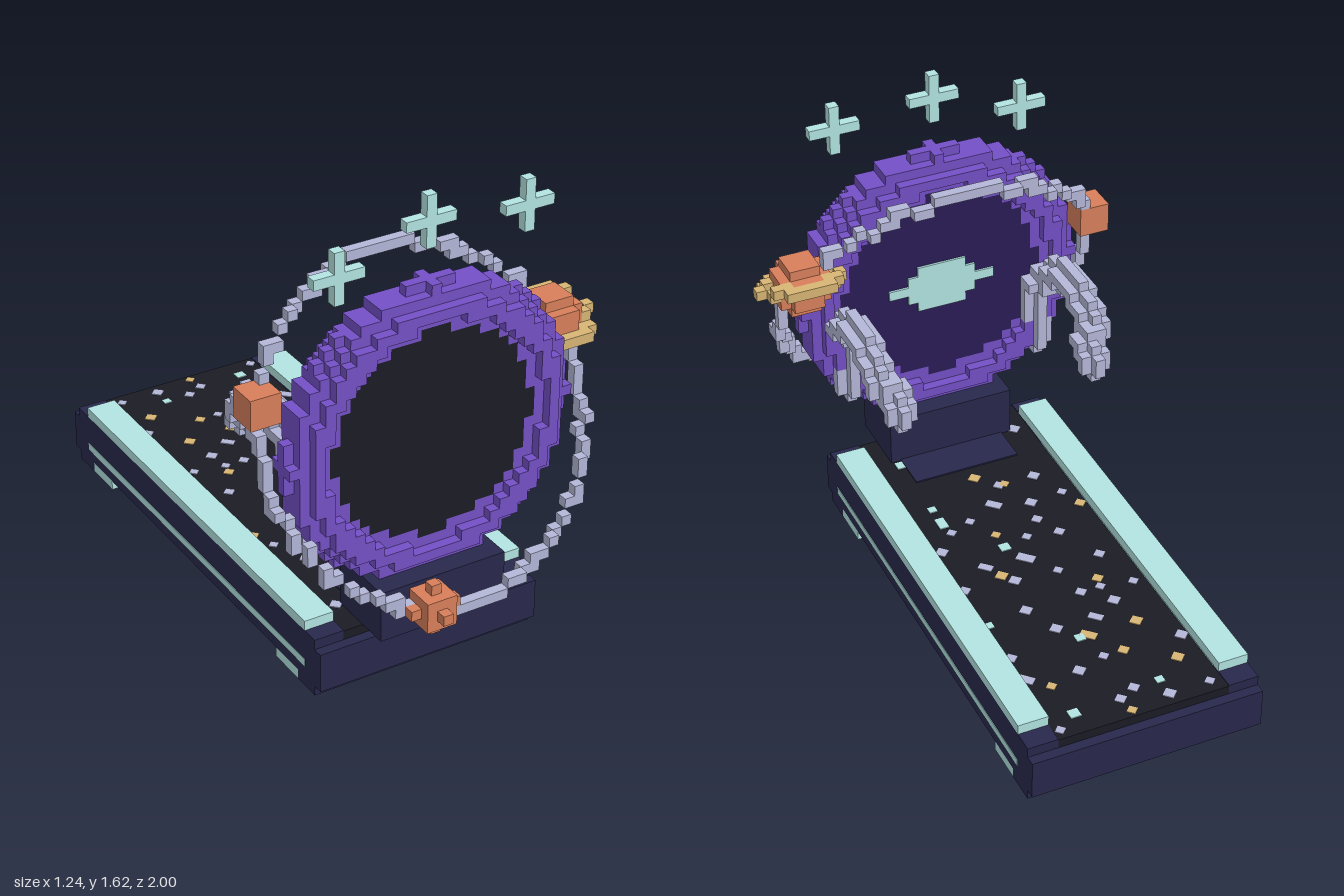
import * as THREE from 'three';

const S = 2 / 58;                 // cube size
const C = [-1.5 * S, 24.5 * S, -1 + 47.5 * S]; // portal centre
const DIRS = [[1, 0, 0], [-1, 0, 0], [0, 1, 0], [0, -1, 0], [0, 0, 1], [0, 0, -1]];

function mat(name, color) {
  const m = new THREE.MeshStandardMaterial({ color });
  m.name = name;
  return m;
}

// Surface of a set of unit cubes, addressed relative to the portal centre
function voxels(name, cells, material) {
  const set = new Map(cells.map(c => [c.join(), c]));
  const pos = [], nor = [];
  for (const [i, j, k] of set.values()) {
    for (const d of DIRS) {
      if (set.has([i + d[0], j + d[1], k + d[2]].join())) continue;
      const a = d.findIndex(v => v !== 0), u = (a + 1) % 3, v = (a + 2) % 3;
      const corner = (p, q) => {
        const r = [i, j, k];
        r[a] += d[a] / 2; r[u] += p / 2; r[v] += q * d[a] / 2;
        return r.map((n, t) => C[t] + n * S);
      };
      const q = [corner(-1, -1), corner(1, -1), corner(1, 1), corner(-1, 1)];
      for (const t of [0, 1, 2, 0, 2, 3]) { pos.push(...q[t]); nor.push(...d); }
    }
  }
  const g = new THREE.BufferGeometry();
  g.setAttribute('position', new THREE.Float32BufferAttribute(pos, 3));
  g.setAttribute('normal', new THREE.Float32BufferAttribute(nor, 3));
  const m = new THREE.Mesh(g, material);
  m.name = name;
  return m;
}

// Every cell in a block of half-size n, n, nz that passes a test
function fill(n, nz, test, [x, y, z] = [0, 0, 0]) {
  const out = [];
  for (let i = -n; i <= n; i++) for (let j = -n; j <= n; j++) for (let k = -nz; k <= nz; k++)
    if (test(i, j, k)) out.push([x + i, y + j, z + k]);
  return out;
}

const ball = (r2, at) => fill(2, 2, (i, j, k) => i * i + j * j + k * k <= r2, at);

export function createModel() {
  const model = new THREE.Group();
  model.name = 'cosmicTreadmill';
  const navy = mat('navy', 0x28284c), black = mat('black', 0x1b1b25);
  const teal = mat('teal', 0xb2e4e2), purple = mat('purple', 0x7450c6);
  const deep = mat('deepViolet', 0x2a1c56), grey = mat('lavenderGrey', 0xb4b7d8);
  const orange = mat('orange', 0xd87f5b), tan = mat('tan', 0xd8b674);

  // Box from x, y, z ranges; x is measured from the centre line
  function box(name, x0, x1, y0, y1, z0, z1, material) {
    const m = new THREE.Mesh(new THREE.BoxGeometry(x1 - x0, y1 - y0, z1 - z0), material);
    m.position.set(C[0] + (x0 + x1) / 2, (y0 + y1) / 2, (z0 + z1) / 2);
    m.name = name;
    model.add(m);
    return m;
  }
  const pair = (name, a, b, ...rest) => {
    box(name, a, b, ...rest);
    box(name, -b, -a, ...rest);
  };

  // Treadmill base: hollow frame, end caps, corner blocks
  const W = 11.5 * S, B = 8.5 * S;
  pair('sideFrame', W - S, W, S, 6 * S, -0.966, 0.655, navy);
  pair('sideStripe', W - S - 0.002, W + 0.002, 0.073, 0.1, -0.895, 0.595, teal);
  pair('railing', B, W, 6 * S, 7 * S, -0.895, 0.595, teal);
  box('frontCap', -W, W, S, 5 * S, 0.655, 0.69, navy);
  box('rearCap', -W, W, S, 5 * S, -1, -0.966, navy);
  box('frontBar', -W, W, 0, 5 * S, 0.552, 0.655, navy);
  box('rearBar', -W, W, 0, 5 * S, -0.966, -0.862, navy);
  for (const [z0, z1] of [[0.552, 0.655], [-0.966, -0.862]]) {
    pair('cornerBlock', B, W, 5 * S, 6 * S, z0, z1, navy);
  }

  // Bracket feet
  for (const [z0, z1] of [[0.414, 0.552], [-0.862, -0.724]]) {
    pair('footSide', W - S, W, 0, S, z0, z1, teal);
    pair('footEnd', W - 4 * S, W - S, 0, S, z0, z0 + S, teal);
    pair('footEnd', W - 4 * S, W - S, 0, S, z1 - S, z1, teal);
  }

  // Belt with star specks on both faces, as x, z pairs in hundredths
  box('belt', -B, B, 5 * S, 6 * S - 0.003, -0.966, 0.655, black);
  const specks = [
    [teal, [-11, -85, 20, -88, 3, -57, 27, -40, 6, -6, 20, 14, 20, 22, 20, 49]],
    [tan, [3, -94, -21, -78, -7, -68, 21, -74, -17, -57, 0, -57, 6, 1, 13, -19, -27, 5,
      -8, 25, 0, 32, -15, -33, 6, 43]],
    [grey, [-25, -92, -11, -92, 4, -88, 27, -93, -27, -69, 27, -68, 0, -68, 10, -71, -2, -85,
      -14, -37, 8, -50, 27, -57, -6, -50, -15, -45, -7, -37, -25, -39, 13, -38, -21, -22,
      -5, -24, 2, -14, -14, -6, -3, -4, 10, -23, 27, -21, -24, 13, -12, 12, 0, 16, 11, 11,
      -19, 25, -6, 25, 19, 8, 26, 0, -10, 3, 16, -13, -24, 52]],
  ];
  for (const [material, at] of specks) {
    for (let n = 0; n < at.length; n += 2) {
      const x = at[n] / 100, z = at[n + 1] / 100, w = 0.014 + (n % 3) * 0.002;
      const l = n % 14 === 10 ? 1.7 * w : w;
      for (const y of [6 * S - 0.002, 5 * S - 0.001]) {
        const m = box('starSpeck', x - w, x + w, y - 0.002, y + 0.002, z - l, z + l, material);
        if (material !== teal) m.rotation.y = Math.PI / 4;
      }
    }
  }
  box('frontSpeck', -0.053, -0.019, 0.175, 0.204, 0.655, 0.658, tan);
  box('frontSpeck', 0.05, 0.084, 0.175, 0.204, 0.655, 0.658, teal);

  // Pedestal and the mounting plate let into the belt behind it
  box('pedestal', -6.5 * S, 6.5 * S, 5.9 * S, 11 * S, 0.518, 0.76, navy);
  box('mountingPlate', -5.5 * S, 5.5 * S, 5 * S - 0.004, 6 * S + 0.002, 0.38, 0.53, navy);

  // Portal: stepped torus with a dark disc on each side
  const inRim = (i, j, k) => (Math.hypot(i, j) - 12.1) ** 2 + k * k <= 4.7;
  model.add(voxels('portalRim', fill(15, 2, inRim), purple));
  const disc = layer => fill(11, 1, (i, j, k) =>
    k === layer && Math.hypot(i, j) < 11.2 && !inRim(i, j, k));
  model.add(voxels('frontDisc', disc(1), black));
  model.add(voxels('rearDisc', disc(-1), deep));

  // Ringed emblem on the rear disc
  const zBack = C[2] - 1.5 * S;
  [5, 3, 2].forEach((w, r) => {
    for (const j of r ? [r, -r] : [0]) {
      const y = C[1] + j * S, h = (w + 0.5) * S;
      box('rearEmblem', -h, h, y - S / 2, y + S / 2, zBack - 0.008, zBack, teal);
    }
  });

  // Moons and ringed planet
  const bodies = [
    ['sideMoon', ball(3, [-15, 5, -3])],
    ['frontMoon', ball(4, [-4, -13, 8])],
    ['planet', ball(6, [15, 5, -3])],
  ];
  for (const [name, cells] of bodies) model.add(voxels(name, cells, orange));
  const ring = [];
  for (let n = 0; n < 120; n++) {
    const a = n * Math.PI / 60, z = Math.round(3.2 * Math.sin(a));
    ring.push([15 + Math.round(3.54 * Math.cos(a)), 5 - Math.round(z / 3), -3 + z]);
  }
  model.add(voxels('planetRing', ring, tan));

  // Tilted orbit, interrupted where a body sits on it
  const taken = new Set([...bodies.flatMap(b => b[1]), ...ring].map(c => c.join()));
  const orbit = [];
  for (let n = 0; n < 104; n++) {
    const a = n * Math.PI / 52, s = Math.sin(a);
    const cell = [16 * Math.cos(a), 13.9 * s, -8 * s].map(v => Math.round(v) + 0);
    if (!taken.has(cell.join())) orbit.push(cell);
  }
  model.add(voxels('orbit', orbit, grey));

  // Arched handles behind the portal
  for (const side of [-1, 1]) {
    const path = new THREE.CatmullRomCurve3([
      [10, -9, -2], [10, -5, -2], [10.3, -2, -2.3], [11, -0.6, -3.6], [11, 0.2, -5.5],
      [11, 0.9, -8], [11, 0.2, -10.5], [10.6, -1.2, -12.8], [10, -4, -15],
    ].map(p => new THREE.Vector3(side * p[0], p[1], p[2])));
    const cells = [];
    for (const p of path.getPoints(160)) {
      const at = p.toArray().map(v => Math.round(v) + 0);
      cells.push(...ball(1, at));
    }
    model.add(voxels(side > 0 ? 'leftHandle' : 'rightHandle', cells, grey));
  }

  // Floating plus-shaped stars
  for (const [x, y] of [[-9, 17], [0, 20], [10, 19]]) {
    model.add(voxels('plusStar', fill(2, 0, (i, j) => i === 0 || j === 0, [x, y, 0]), teal));
  }
  return model;
}
